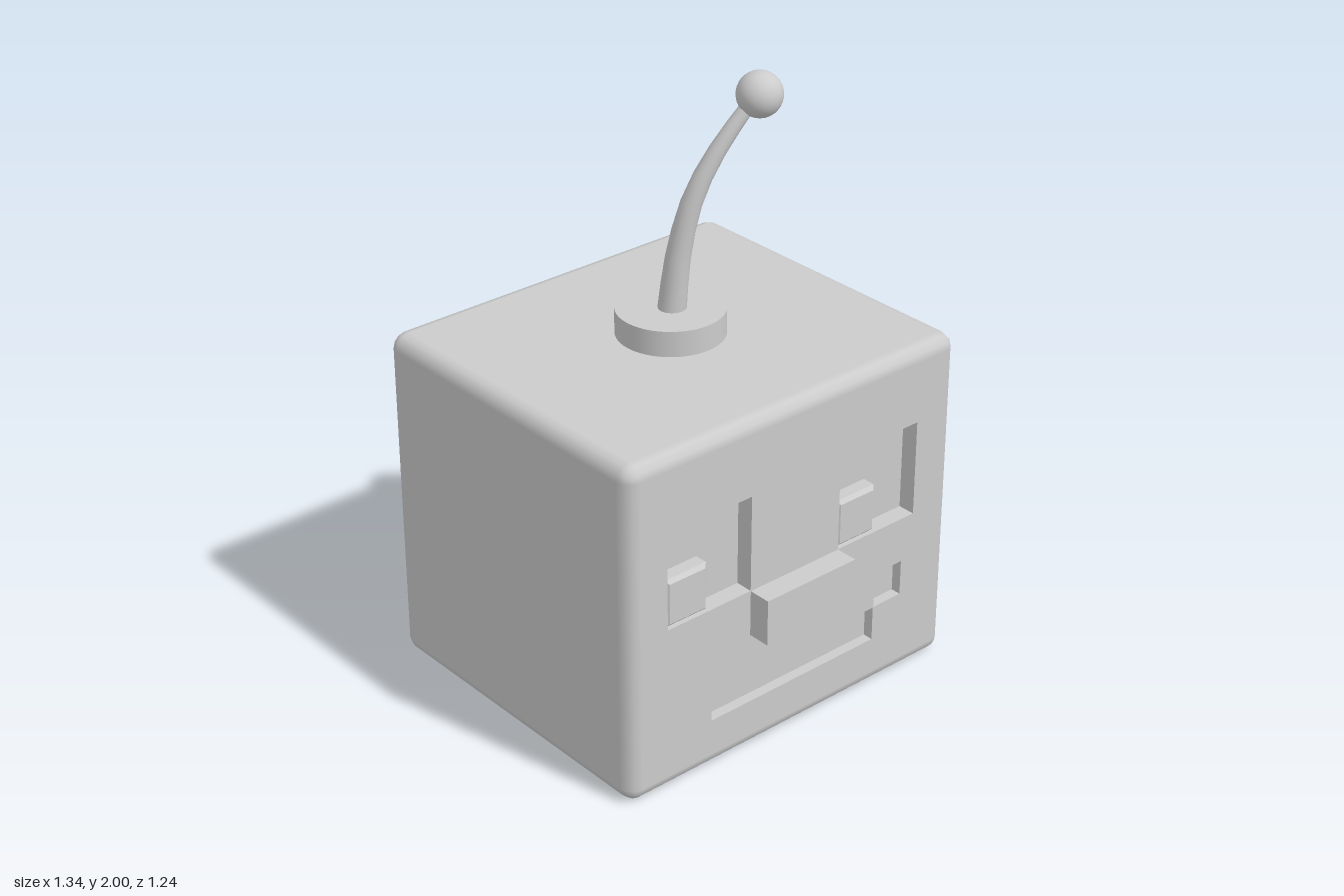
import * as THREE from 'three';

const W = 0.67, H = 0.585, CY = 0.585;      // half width, half height, centre height
const BACK = -0.62, FRONT = 0.545, R = 0.05; // body depth range and edge radius
const DEPTH = 0.06;                          // depth of the face plate

const material = new THREE.MeshStandardMaterial({ color: 0xcccccc });

function add(parent, name, geometry, x = 0, y = 0, z = 0) {
  const mesh = new THREE.Mesh(geometry, material);
  mesh.name = name;
  mesh.position.set(x, y, z);
  parent.add(mesh);
  return mesh;
}

function rect(Type, x0, y0, x1, y1) {
  const s = new Type();
  s.moveTo(x0, y0).lineTo(x1, y0).lineTo(x1, y1).lineTo(x0, y1).closePath();
  return s;
}

// Rounded walls and edges of the box, open at the flat front and back
function shellGeometry() {
  const SEG = 3, pos = [], nor = [], idx = [];
  const corners = [[1, 1], [-1, 1], [-1, -1], [1, -1]];
  const n = 4 * (SEG + 1), rings = 2 * (SEG + 1);
  for (let i = 0; i < rings; i++) {
    const front = i > SEG;
    const a = ((front ? i - SEG - 1 : i - SEG) / SEG) * Math.PI / 2;
    const z = (front ? FRONT - R : BACK + R) + R * Math.sin(a);
    corners.forEach(([sx, sy], c) => {
      for (let k = 0; k <= SEG; k++) {
        const t = (c + k / SEG) * Math.PI / 2;
        const nx = Math.cos(a) * Math.cos(t), ny = Math.cos(a) * Math.sin(t);
        pos.push(sx * (W - R) + R * nx, CY + sy * (H - R) + R * ny, z);
        nor.push(nx, ny, Math.sin(a));
      }
    });
  }
  for (let i = 0; i < rings - 1; i++) {
    for (let j = 0; j < n; j++) {
      const k = (j + 1) % n;
      const a = i * n + j, b = i * n + k, c = b + n, d = a + n;
      idx.push(a, b, c, a, c, d);
    }
  }
  const g = new THREE.BufferGeometry();
  g.setAttribute('position', new THREE.Float32BufferAttribute(pos, 3));
  g.setAttribute('normal', new THREE.Float32BufferAttribute(nor, 3));
  g.setIndex(idx);
  return g;
}

// Block with a small bevel on its front edges, sitting on z = 0
function bevelBlock(w, h, d, b) {
  const s = rect(THREE.Shape, -w / 2 + b, -h / 2 + b, w / 2 - b, h / 2 - b);
  return new THREE.ExtrudeGeometry(s, {
    depth: d - b, bevelSize: b, bevelThickness: b, bevelSegments: 1
  });
}

// Tube whose radius shrinks along its path
function taperedTube(curve, segments, r0, r1) {
  const sides = 16, g = new THREE.TubeGeometry(curve, segments, 1, sides);
  const p = g.attributes.position, v = new THREE.Vector3();
  for (let i = 0; i < p.count; i++) {
    const u = Math.floor(i / (sides + 1)) / segments;
    const c = curve.getPointAt(u);
    v.fromBufferAttribute(p, i).sub(c).multiplyScalar(r0 + (r1 - r0) * u).add(c);
    p.setXYZ(i, v.x, v.y, v.z);
  }
  return g;
}

export function createModel() {
  const model = new THREE.Group();
  model.name = 'boxHead';

  // Body
  const body = new THREE.Group();
  body.name = 'body';
  model.add(body);
  add(body, 'bodyShell', shellGeometry());
  add(body, 'bodyBack', new THREE.PlaneGeometry(2 * (W - R), 2 * (H - R)).rotateY(Math.PI), 0, CY, BACK);

  // Face plate with sunken eyes and mouth: name, x0, y0, x1, y1, depth
  const pockets = [
    ['rightEyeSocket', -0.52, 0.58, -0.19, 0.91, DEPTH],
    ['leftEyeSocket', 0.175, 0.58, 0.505, 0.91, DEPTH],
    ['mouth', -0.345, 0.175, 0.34, 0.295, 0.035],
    ['mouthCorner', 0.342, 0.297, 0.46, 0.42, 0.035]
  ];
  const face = rect(THREE.Shape, -W + R, CY - H + R, W - R, CY + H - R);
  for (const [name, x0, y0, x1, y1, d] of pockets) {
    face.holes.push(rect(THREE.Path, x0, y0, x1, y1));
    add(body, name, new THREE.PlaneGeometry(x1 - x0, y1 - y0), (x0 + x1) / 2, (y0 + y1) / 2, FRONT - d);
  }
  add(body, 'facePlate', new THREE.ExtrudeGeometry(face, { depth: DEPTH, bevelEnabled: false }), 0, 0, FRONT - DEPTH);

  // Pupils in the lower inner corner of each socket
  for (const [name, x] of [['rightPupil', -0.438], ['leftPupil', 0.257]]) {
    add(model, name, bevelBlock(0.163, 0.163, 0.055, 0.012), x, 0.662, FRONT - DEPTH);
  }

  // Nose
  add(model, 'nose', new THREE.BoxGeometry(0.365, 0.158, 0.12), -0.007, 0.5, 0.562);

  // Antenna
  const antenna = new THREE.Group();
  antenna.name = 'antenna';
  model.add(antenna);
  add(antenna, 'antennaBase', new THREE.CylinderGeometry(0.175, 0.175, 0.095, 48), 0, 1.2085, -0.045);
  const path = new THREE.CatmullRomCurve3([
    new THREE.Vector3(0, 1.24, -0.04),
    new THREE.Vector3(0.018, 1.43, -0.03),
    new THREE.Vector3(0.06, 1.62, -0.008),
    new THREE.Vector3(0.135, 1.77, 0.022),
    new THREE.Vector3(0.235, 1.91, 0.06)
  ]);
  add(antenna, 'antennaStem', taperedTube(path, 8, 0.046, 0.022));
  add(antenna, 'antennaBall', new THREE.SphereGeometry(0.073, 32, 20), 0.255, 1.927, 0.07);

  return model;
}
